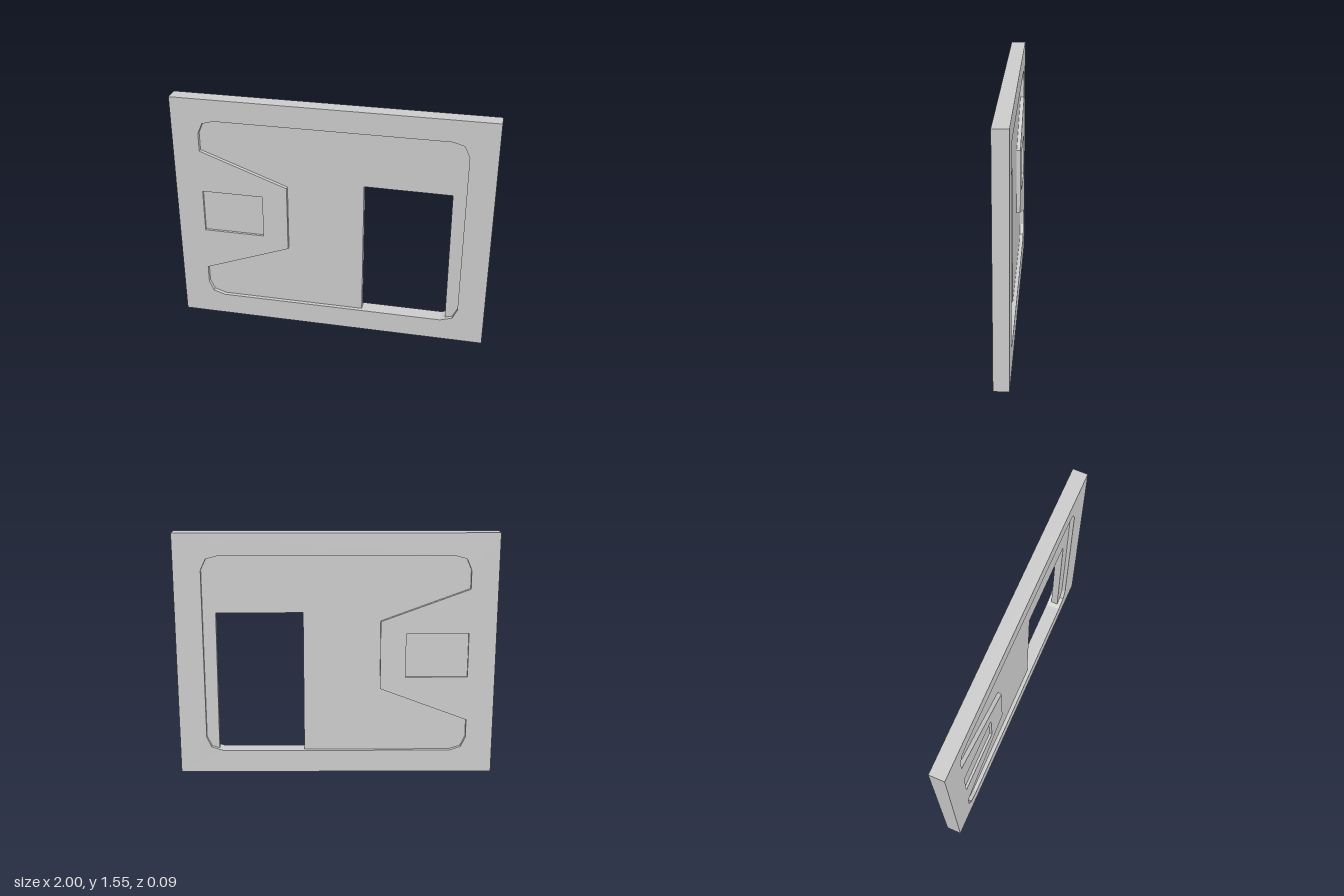
import * as THREE from 'three';

const WIDTH = 2, HEIGHT = 1.55, THICK = 0.095;
const RECESS = 0.025, POCKET = 0.016; // depths sunk into each face

const points = (list) => list.map(([x, y]) => new THREE.Vector2(x, y));
const rect = (x0, y0, x1, y1) => [[x0, y0], [x1, y0], [x1, y1], [x0, y1]];

// Recessed field: rounded corners, with a tapered tab left standing on one side
const bottomLeft = [[-0.83, 0.235], [-0.8, 0.17], [-0.725, 0.145]];
const upperEdge = [
  [0.8, 0.17], [0.83, 0.235], [0.83, 1.32], [0.797, 1.39], [0.723, 1.41],
  [-0.725, 1.41], [-0.8, 1.39], [-0.83, 1.32],
  [-0.83, 1.202], [-0.278, 0.997], [-0.278, 0.56], [-0.83, 0.352],
];
const recessOutline = [...bottomLeft, [0.723, 0.145], ...upperEdge];

// The doorway cuts the field down to its lower edge
const doorway = [[0.205, 0.145], [0.205, 1.05], [0.748, 1.047], [0.752, 0.154]];
const fieldOutline = [...bottomLeft, ...doorway, ...upperEdge];

const pocketOutline = rect(-0.828, 0.637, -0.438, 0.92);

export function createModel() {
  const group = new THREE.Group();
  const material = new THREE.MeshStandardMaterial({ color: 0xcccccc, flatShading: true });

  // Flat slab centred on z = 0
  const addSlab = (name, outline, depth, holes = []) => {
    const shape = new THREE.Shape(points(outline));
    holes.forEach((hole) => shape.holes.push(new THREE.Path(points(hole))));
    const geometry = new THREE.ExtrudeGeometry(shape, { depth, bevelEnabled: false });
    geometry.translate(0, 0, -depth / 2);
    const mesh = new THREE.Mesh(geometry, material);
    mesh.name = name;
    group.add(mesh);
  };

  // Full-thickness border with the tab
  addSlab('wallFrame', rect(-WIDTH / 2, 0, WIDTH / 2, HEIGHT), THICK, [recessOutline, pocketOutline]);
  // Thinner field around the doorway
  addSlab('recessedPanel', fieldOutline, THICK - 2 * RECESS);
  // Shallow rectangular pocket in the tab
  addSlab('pocketPanel', pocketOutline, THICK - 2 * POCKET);

  return group;
}
